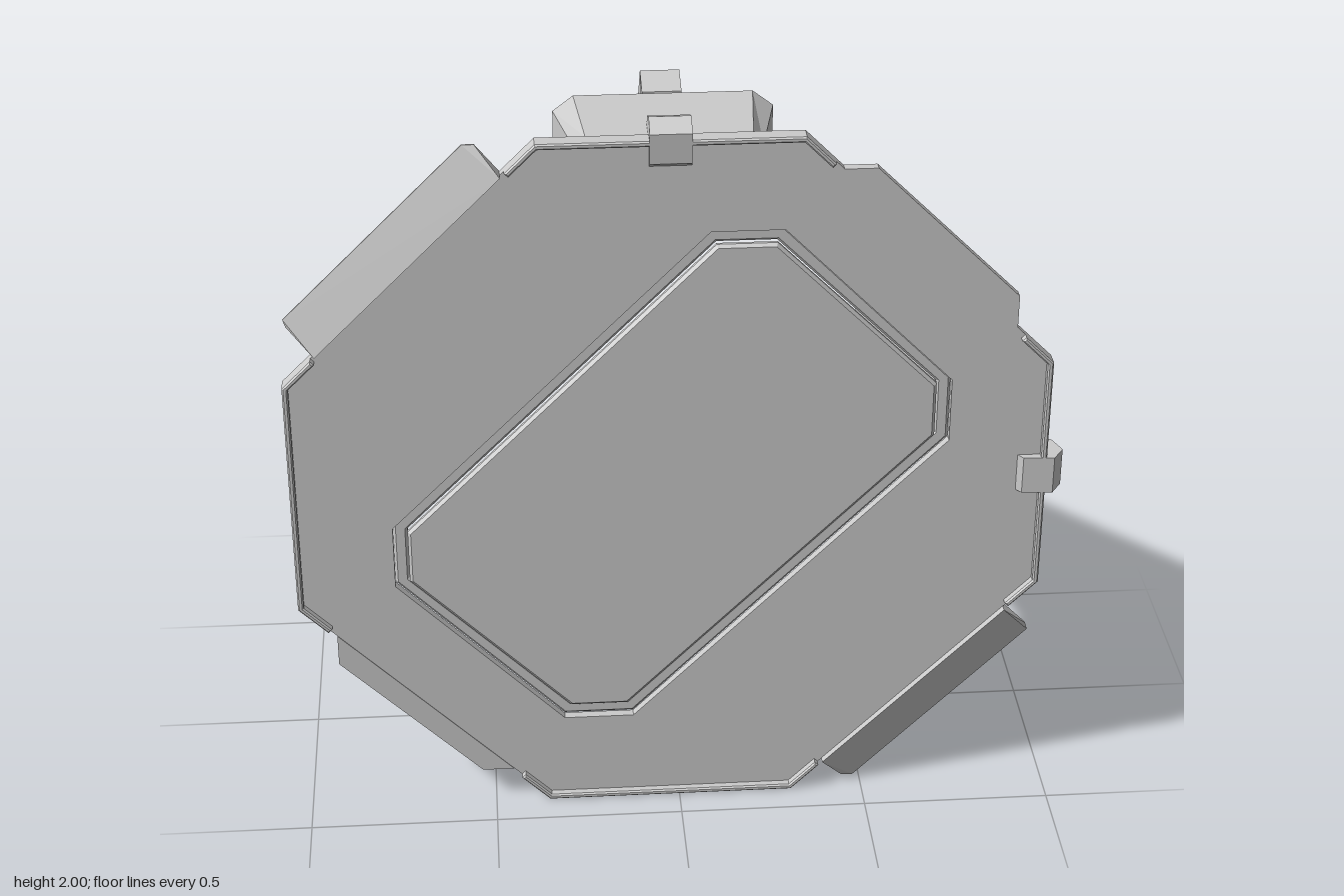
import * as THREE from 'three';
import { ConvexGeometry } from 'three/addons/geometries/ConvexGeometry.js';

const mat = new THREE.MeshStandardMaterial({ color: 0xcccccc, flatShading: true });

function add(parent, name, geometry) {
  const mesh = new THREE.Mesh(geometry, mat);
  mesh.name = name;
  parent.add(mesh);
  return mesh;
}

const toPath = (pts, Type = THREE.Shape) => new Type(pts.map(([x, y]) => new THREE.Vector2(x, y)));

// Extruded outline between two depths, with bevels kept inside the outline
function slab(pts, z0, z1, bevel, hole) {
  const shape = toPath(pts);
  if (hole) shape.holes.push(toPath(hole, THREE.Path));
  const g = new THREE.ExtrudeGeometry(shape, {
    depth: z1 - z0 - 2 * bevel, bevelEnabled: bevel > 0, bevelSegments: 1,
    bevelSize: bevel, bevelThickness: bevel, bevelOffset: -bevel,
  });
  return g.translate(0, 0, z0 + bevel);
}

// Closed loft through counterclockwise sections running from +z to -z
function loft(sections) {
  const n = sections[0].length, last = (sections.length - 1) * n, index = [];
  for (let i = 0; i < last; i += n) {
    for (let j = 0; j < n; j++) {
      const k = (j + 1) % n;
      index.push(i + j, i + n + j, i + n + k, i + j, i + n + k, i + k);
    }
  }
  for (let j = 1; j < n - 1; j++) index.push(0, j, j + 1, last, last + j + 1, last + j);
  const g = new THREE.BufferGeometry();
  g.setAttribute('position', new THREE.Float32BufferAttribute(sections.flat(2), 3));
  g.setIndex(index);
  const flat = g.toNonIndexed();
  flat.computeVertexNormals();
  return flat;
}

// Complete an outline that is symmetric under a half turn
const halfTurn = (pts) => [...pts, ...pts.map(([x, y]) => [-x, -y])];

// Six-sided pod section: base, shoulder and narrower top
const podSection = (w, wTop, base, shoulder, top, z) => [
  [-w, base, z], [w, base, z], [w, shoulder, z], [wTop, top, z], [-wTop, top, z], [-w, shoulder, z],
];
const box4 = (w, y0, z0, y1, z1) => [[-w, y0, z0], [w, y0, z0], [w, y1, z1], [-w, y1, z1]];

// Pod with its raised fin and the clip on the plate rim
function makeArm(name) {
  const arm = new THREE.Group();
  arm.name = name;
  add(arm, 'pod', loft([
    podSection(0.23, 0.205, 0.832, 0.934, 0.968, 0.362),
    podSection(0.277, 0.225, 0.822, 0.938, 0.978, 0.13),
    podSection(0.098, 0.082, 0.585, 0.63, 0.645, -0.425),
  ]));
  add(arm, 'fin', loft([
    box4(0.05, 0.88, 0.09, 0.965, 0.09),
    box4(0.05, 0.85, 0.0, 0.99, 0.01),
    box4(0.037, 0.65, -0.31, 0.768, -0.31),
    box4(0.035, 0.62, -0.35, 0.705, -0.35),
  ]));
  const profile = [[0.4, 0.902], [0.418, 0.915], [0.423, 0.995], [0.38, 1.024], [0.33, 1.005], [0.305, 0.975], [0.36, 0.902]];
  const clip = new THREE.ExtrudeGeometry(toPath(profile), { depth: 0.104, bevelEnabled: false });
  add(arm, 'clip', clip.translate(0, 0, -0.052).rotateY(-Math.PI / 2));
  return arm;
}

export function createModel() {
  const model = new THREE.Group();
  model.name = 'panelAssembly';
  const body = new THREE.Group();
  body.name = 'body';
  body.position.set(-0.024, 0.976, 0);
  model.add(body);

  // Octagonal plate, with a sunken channel running around a flush inner panel
  const octagon = halfTurn([[0.33, -0.976], [0.976, -0.33], [0.976, 0.33], [0.33, 0.976]]);
  const opening = halfTurn([[-0.1, -0.72], [0.72, 0.103], [0.72, 0.28], [0.285, 0.72]]);
  const inner = halfTurn([[-0.115, -0.682], [0.682, 0.118], [0.682, 0.268], [0.267, 0.682]]);
  add(body, 'plate', slab(octagon, 0.376, 0.4, 0, opening));
  add(body, 'channel', slab(opening, 0.35, 0.38, 0.007, inner));
  add(body, 'innerPanel', slab(inner, 0.376, 0.4, 0.008));

  // Raised rim along each straight side and around its corners
  const rim = [
    [0.405, 0.901], [0.33, 0.976], [-0.33, 0.976], [-0.405, 0.901],
    [-0.395, 0.891], [-0.325, 0.961], [0.325, 0.961], [0.395, 0.891],
  ];
  for (let i = 0; i < 4; i++) {
    add(body, 'rim', slab(rim, 0.376, 0.421, 0.004)).rotation.z = i * Math.PI / 2;
  }

  // Flaps on the four diagonal sides, in opposite pairs
  for (const turn of [0, Math.PI]) {
    const stepped = [[0.426, 0.88], [0.88, 0.426], [0.88, 0.515], [0.51, 0.88]];
    add(body, 'steppedFlap', slab(stepped, 0.376, 0.402, 0)).rotation.z = turn;

    const inside = [[-0.89, 0.415], [-0.415, 0.89]];
    const outside = [[-0.958, 0.485], [-0.964, 0.505], [-0.505, 0.964], [-0.475, 0.964]];
    const points = [
      ...inside.map(([x, y]) => new THREE.Vector3(x, y, 0.42)),
      ...[...inside, ...outside].map(([x, y]) => new THREE.Vector3(x, y, 0.376)),
      ...outside.map(([x, y]) => new THREE.Vector3(x, y, 0.38)),
    ];
    add(body, 'slopedFlap', new ConvexGeometry(points)).rotation.z = turn;
  }

  // The same arm on the top and on the left side
  body.add(makeArm('topArm'));
  const sideArm = makeArm('sideArm');
  sideArm.rotation.z = -Math.PI / 2;
  body.add(sideArm);

  return model;
}
